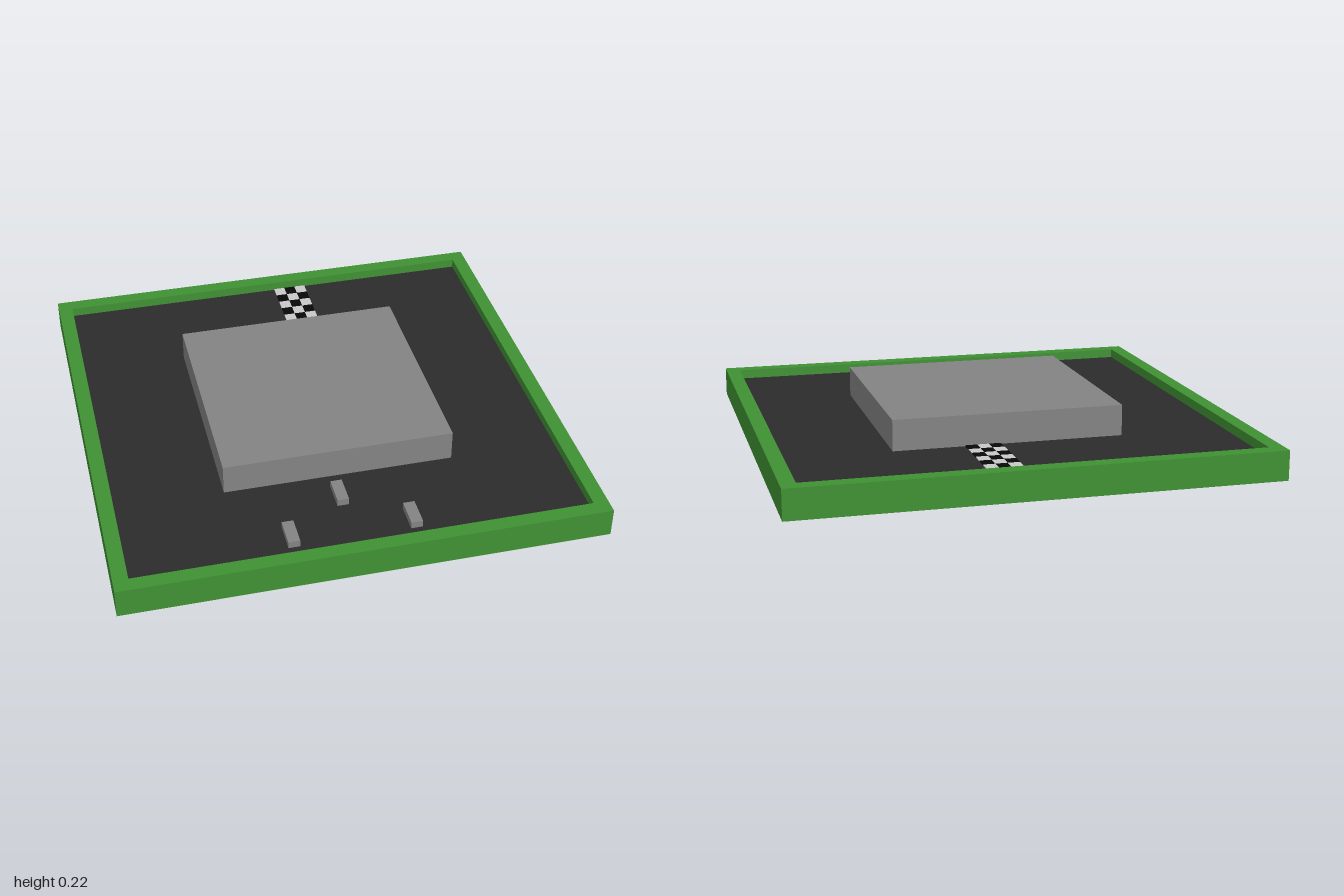
import * as THREE from 'three';

const mat = (name, color) => {
  const m = new THREE.MeshStandardMaterial({ color });
  m.name = name;
  return m;
};

export function createModel() {
  const green = mat('grass green', 0x3f9133);
  const asphalt = mat('asphalt', 0x2b2b2b);
  const grey = mat('mid grey', 0x838383);
  const white = mat('off white', 0xc8c8c8);
  const black = mat('black', 0x080808);

  const group = new THREE.Group();
  group.name = 'raceTrack';

  // box given by its lower and upper corners
  function box(name, material, [x0, y0, z0], [x1, y1, z1], parent = group) {
    const mesh = new THREE.Mesh(new THREE.BoxGeometry(x1 - x0, y1 - y0, z1 - z0), material);
    mesh.position.set((x0 + x1) / 2, (y0 + y1) / 2, (z0 + z1) / 2);
    mesh.name = name;
    parent.add(mesh);
  }

  // square border wall with a rectangular opening
  const inner = 0.938, wallTop = 0.125, floorTop = 0.085;
  const outline = new THREE.Shape([[-1, -1], [1, -1], [1, 1], [-1, 1]].map(p => new THREE.Vector2(...p)));
  outline.holes.push(new THREE.Path(
    [[-inner, -inner], [-inner, inner], [inner, inner], [inner, -inner]].map(p => new THREE.Vector2(...p))));
  const wallGeometry = new THREE.ExtrudeGeometry(outline, { depth: wallTop, bevelEnabled: false });
  wallGeometry.rotateX(-Math.PI / 2);
  const wall = new THREE.Mesh(wallGeometry, green);
  wall.name = 'borderWall';
  group.add(wall);

  // road slab and the raised block in the middle
  box('roadSlab', asphalt, [-inner, 0.003, -inner], [inner, floorTop, inner]);
  box('centreBlock', grey, [-0.485, 0, -0.485], [0.485, 0.215, 0.485]);

  // chequered finish line, thin tiles in three columns
  const finishLine = new THREE.Group();
  finishLine.name = 'finishLine';
  group.add(finishLine);
  const columns = 3, rows = 8, x0 = 0.036, z0 = -inner;
  const w = 0.149 / columns, d = (inner - 0.485) / rows;
  for (let c = 0; c < columns; c++) {
    for (let r = 0; r < rows; r++) {
      const dark = (c + r) % 2 === 1;
      box(dark ? 'blackTile' : 'whiteTile', dark ? black : white,
        [x0 + c * w, floorTop, z0 + r * d], [x0 + (c + 1) * w, floorTop + 0.004, z0 + (r + 1) * d], finishLine);
    }
  }

  // three small cars
  for (const [x, z] of [[-0.03, 0.612], [-0.278, 0.81], [0.222, 0.81]]) {
    box('car', grey, [x - 0.024, 0, z - 0.061], [x + 0.024, 0.115, z + 0.061]);
  }
  return group;
}
